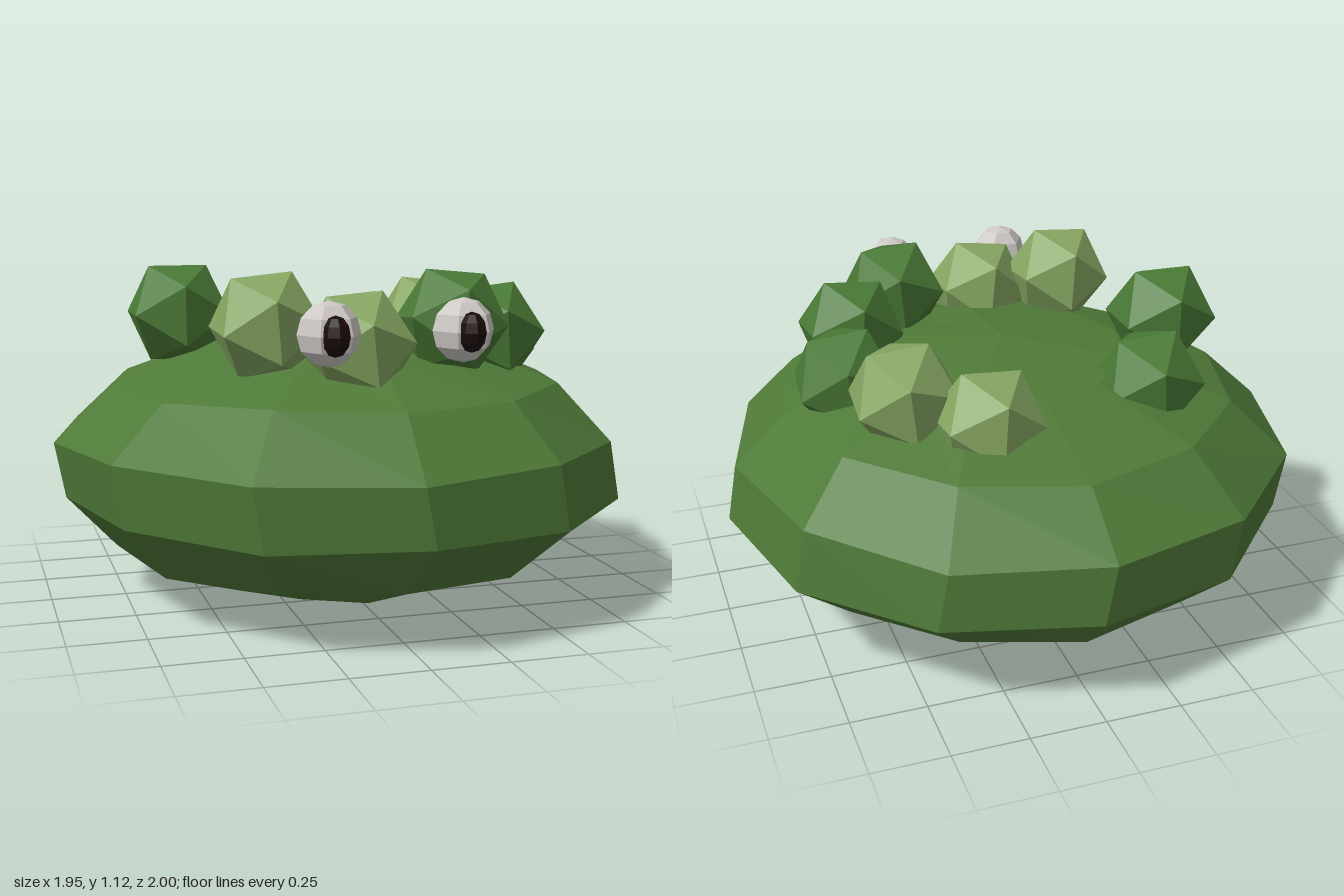
import * as THREE from 'three';

const mat = (name, color) => {
  const m = new THREE.MeshStandardMaterial({ color });
  m.name = name;
  return m;
};

// Facet a geometry: split its vertices so every face has its own normal
function faceted(geometry) {
  const g = geometry.toNonIndexed();
  g.computeVertexNormals();
  return g;
}

function addMesh(parent, name, geometry, material, position) {
  const mesh = new THREE.Mesh(geometry, material);
  mesh.name = name;
  mesh.position.set(...position);
  parent.add(mesh);
  return mesh;
}

// Squashed faceted sphere whose rings are nudged slightly for an uneven look
function bodyGeometry() {
  const g = new THREE.SphereGeometry(1, 12, 7);
  const p = g.attributes.position;
  const ringShift = [0, 0.01, -0.01, -0.02, 0.015, -0.01, -0.02, 0];
  for (let i = 0; i < p.count; i++) {
    const ring = Math.floor(i / 13);
    const wobble = ring % 7 === 0 ? 0 : 0.008 * Math.sin((i % 13 % 12) * 2.3 + ring * 1.7);
    p.setXYZ(i, p.getX(i) * 0.98 + ringShift[ring], p.getY(i) * 0.447 + wobble, p.getZ(i) * 1.025);
  }
  return faceted(g);
}

export function createModel() {
  const model = new THREE.Group();
  model.name = 'bushCreature';

  const bodyGreen = mat('body green', 0x4f7a38);
  const darkLeaf = mat('dark leaf green', 0x4a7a36);
  const lightLeaf = mat('light leaf green', 0x86a662);
  const eyeWhite = mat('eye white', 0xcdc8c4);
  const pupilBlack = mat('pupil black', 0x1c0a0a);

  addMesh(model, 'body', bodyGeometry(), bodyGreen, [0, 0.447, 0]);

  // Leaf clumps around the top: x, y, z, tilt
  const clump = new THREE.IcosahedronGeometry(0.188, 0);
  const clumps = new THREE.Group();
  clumps.name = 'leafClumps';
  model.add(clumps);
  const ring = (name, material, list) => list.forEach(([x, y, z, tilt], i) => {
    addMesh(clumps, name + (i + 1), clump, material, [x, y, z]).rotation.set(tilt * 0.8, tilt * 0.5, tilt);
  });
  ring('darkClump', darkLeaf, [
    [-0.39, 0.82, -0.35, -0.1],
    [-0.53, 0.95, -0.12, 0],
    [0.55, 0.82, -0.01, -0.15],
    [0.47, 0.89, 0.24, 0.1],
    [0.27, 0.95, 0.41, -0.1],
  ]);
  ring('lightClump', lightLeaf, [
    [0.2, 0.81, -0.46, 0.08],
    [0.43, 0.87, -0.31, -0.12],
    [-0.34, 0.95, 0.38, 0.09],
    [-0.07, 0.89, 0.49, 0.14],
  ]);

  // Eyes with pupils bulging from the front
  const ball = faceted(new THREE.SphereGeometry(0.1, 6, 6));
  const pupil = faceted(new THREE.SphereGeometry(1, 8, 6).scale(0.048, 0.062, 0.05));
  for (const [side, x] of [['right', -0.215], ['left', 0.21]]) {
    const eye = new THREE.Group();
    eye.name = side + 'Eye';
    eye.position.set(x, 0.95, 0.67);
    model.add(eye);
    addMesh(eye, 'eyeball', ball, eyeWhite, [0, 0, 0]);
    addMesh(eye, 'pupil', pupil, pupilBlack, [0, 0, 0.07]);
  }

  return model;
}
